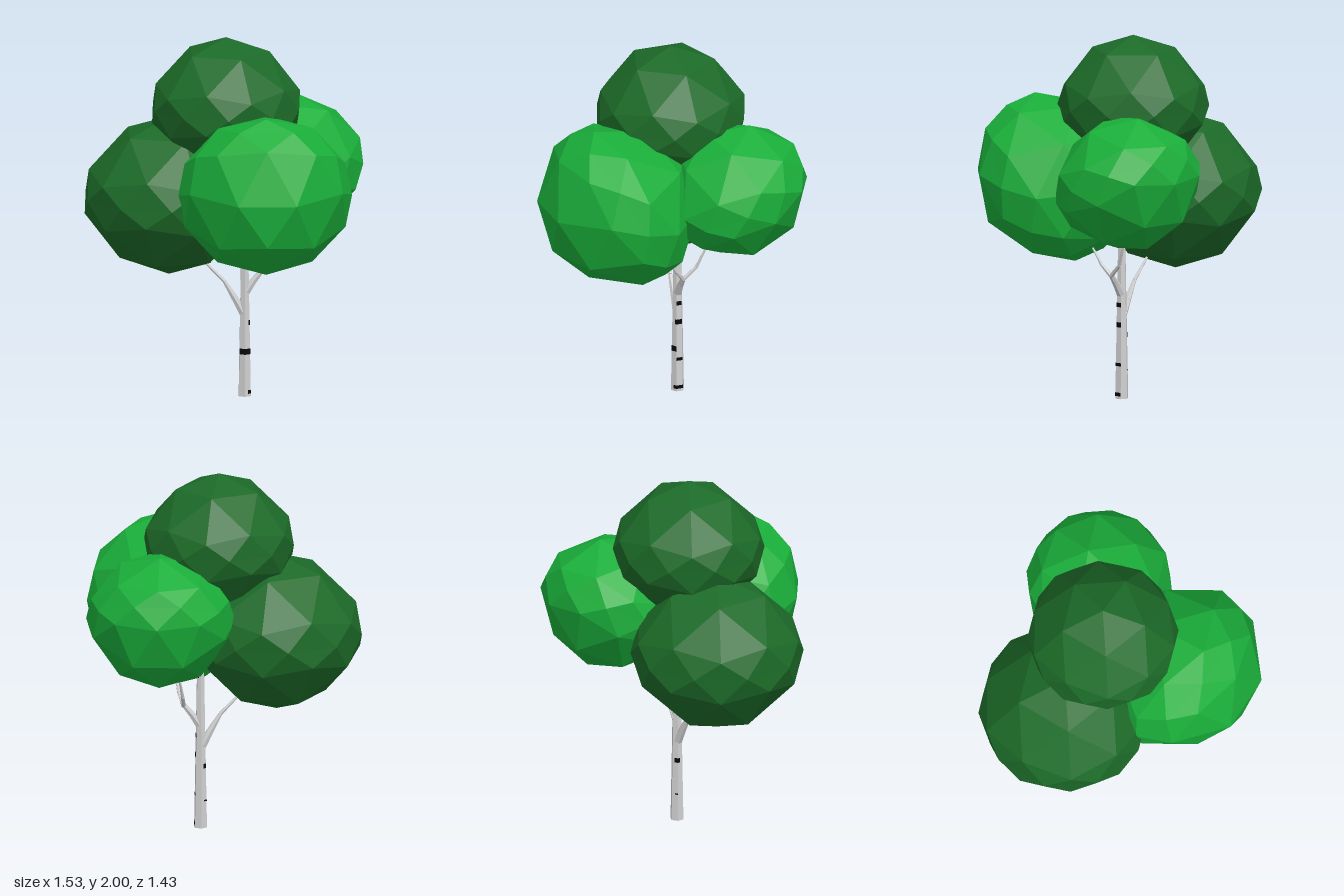
import * as THREE from 'three';

const mat = (name, color) => new THREE.MeshStandardMaterial({ name, color, flatShading: true });

export function createModel() {
  const tree = new THREE.Group();
  tree.name = 'birchTree';
  const darkLeaf = mat('darkLeaf', 0x1c6a28);
  const brightLeaf = mat('brightLeaf', 0x1aae3a);
  const bark = mat('paleBark', 0xcfcfcf);
  const mark = mat('blackMark', 0x070707);

  const add = (name, geo, material, parent = tree) => {
    const m = new THREE.Mesh(geo, material);
    m.name = name;
    parent.add(m);
    return m;
  };

  // Faceted leaf ball, pole up: its two caps are pressed towards the ring at its waist.
  // It is turned by a spin about its pole, a tilt about x and a final turn about y (degrees).
  const leafBall = (name, material, centre, r, spin = 0, tilt = 0, turn = 0) => {
    const geo = new THREE.IcosahedronGeometry(1, 1);
    geo.rotateZ(Math.atan(2 / (1 + Math.sqrt(5))));
    geo.rotateY(Math.PI);
    const p = geo.attributes.position;
    for (let i = 0; i < p.count; i++) {
      const y = p.getY(i), cap = Math.abs(y) > 0.1, wide = cap ? 1.088 : 1;
      p.setXYZ(i, p.getX(i) * wide, cap ? Math.sign(y) * (1.3 * Math.abs(y) - 0.37) : 0, p.getZ(i) * wide);
    }
    const rad = Math.PI / 180;
    geo.rotateY(spin * rad).rotateX(tilt * rad).rotateY(turn * rad).scale(r, r, r);
    geo.computeVertexNormals();
    add(name, geo, material).position.set(...centre);
  };
  leafBall('topFoliage', darkLeaf, [0, 1.615, -0.08], 0.415);
  leafBall('rightFoliage', darkLeaf, [-0.31, 1.112, -0.13], 0.473);
  leafBall('frontFoliage', brightLeaf, [0.2, 1.2, 0.305], 0.475, -90, 119.5);
  leafBall('backLeftFoliage', brightLeaf, [0.355, 1.255, -0.322], 0.408, 90, 25, -11);

  // Six-sided tapering trunk
  const H = 1.2, X = 0.102, Z = -0.08, R0 = 0.038, R1 = 0.015;
  const radiusAt = (y) => R0 + (R1 - R0) * y / H;
  add('trunk', new THREE.CylinderGeometry(R1, R0, H, 6), bark).position.set(X, H / 2, Z);

  // Bark marks lying on trunk faces: [height, thickness, first face, face count]
  const marks = [
    [0.025, 0.02, 1, 1], [0.025, 0.02, 0.5, 0.5], [0.19, 0.018, 1, 1], [0.25, 0.032, 5, 2],
    [0.35, 0.026, 3.4, 0.6], [0.35, 0.026, 4, 0.4], [0.155, 0.008, 3.5, 0.5],
    [0.41, 0.028, 1, 1], [0.41, 0.028, 0.7, 0.3], [0.52, 0.024, 1, 1],
    [0.735, 0.045, 0, 0.5], [0.865, 0.04, 1, 1], [0.865, 0.03, 2, 0.5],
  ];
  const markGroup = new THREE.Group();
  markGroup.name = 'barkMarks';
  tree.add(markGroup);
  const step = Math.PI / 3;
  for (const [y, h, face, count] of marks) {
    const geo = new THREE.CylinderGeometry(radiusAt(y + h / 2) + 0.0015, radiusAt(y - h / 2) + 0.0015,
      h, Math.ceil(count), 1, true, face * step, count * step);
    // Partial marks are pushed onto the flat of their face
    if (count < 1) {
      const p = geo.attributes.position;
      const mid = (Math.floor(face) + 0.5) * step;
      for (let i = 0; i < p.count; i++) {
        const x = p.getX(i), z = p.getZ(i);
        const k = Math.cos(step / 2) / Math.cos(Math.atan2(x, z) - mid);
        p.setX(i, x * k);
        p.setZ(i, z * k);
      }
    }
    add('barkMark', geo, mark, markGroup).position.set(X, y, Z);
  }

  // Branches made of tapering segments; each point is [x, y, z, radius]
  const branch = (name, points) => {
    const g = new THREE.Group();
    g.name = name;
    tree.add(g);
    for (let i = 0; i + 1 < points.length; i++) {
      const a = new THREE.Vector3(...points[i]), b = new THREE.Vector3(...points[i + 1]);
      const dir = b.clone().sub(a);
      const m = add('branchSegment',
        new THREE.CylinderGeometry(points[i + 1][3], points[i][3], dir.length(), 6), bark, g);
      m.position.copy(a).add(b).multiplyScalar(0.5);
      m.quaternion.setFromUnitVectors(new THREE.Vector3(0, 1, 0), dir.normalize());
    }
  };
  branch('rightBranch', [[0.1, 0.45, -0.08, 0.026], [0.05, 0.54, -0.08, 0.02],
    [-0.01, 0.64, -0.08, 0.011], [-0.13, 0.76, -0.08, 0.006], [-0.22, 0.86, -0.09, 0.004]]);
  branch('leftBranch', [[0.11, 0.58, -0.08, 0.024], [0.15, 0.64, -0.08, 0.019], [0.195, 0.695, -0.08, 0.014]]);
  branch('leftFrontTwig', [[0.195, 0.69, -0.08, 0.013], [0.215, 0.75, -0.03, 0.009], [0.225, 0.84, 0.025, 0.006]]);
  branch('leftBackTwig', [[0.195, 0.69, -0.08, 0.013], [0.21, 0.76, -0.15, 0.01], [0.24, 0.9, -0.205, 0.006]]);

  return tree;
}
